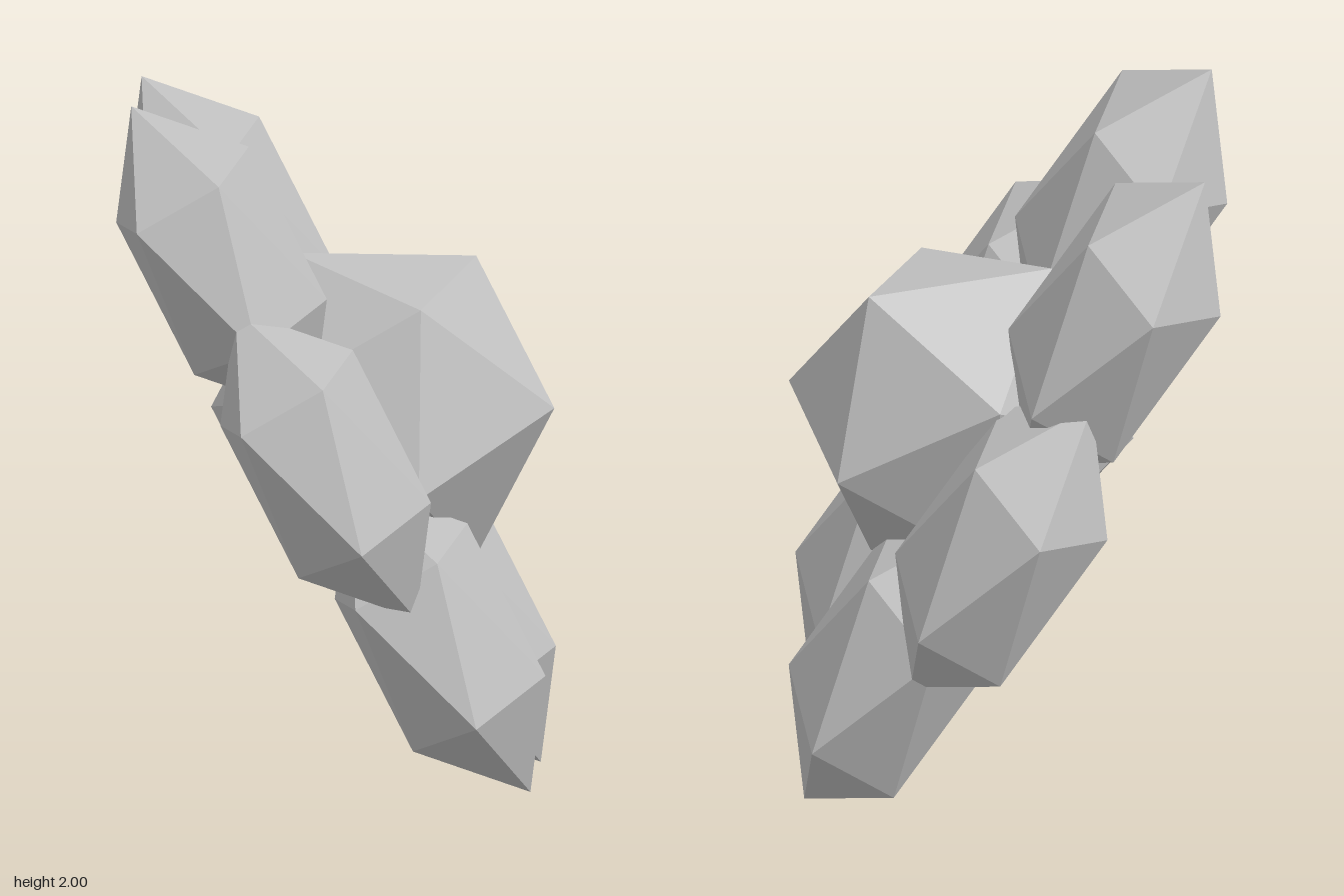
import * as THREE from 'three';

export function createModel() {
  const model = new THREE.Group();
  const stone = new THREE.MeshStandardMaterial({ color: 0xc0c0c0, flatShading: true });
  stone.name = 'pale grey';

  // Tilted cluster frame: local x is the axis of the ring
  const cluster = new THREE.Group();
  cluster.name = 'cluster';
  const axis = new THREE.Vector3(Math.SQRT1_2, 0.5, 0.5);
  const along = new THREE.Vector3(0, Math.SQRT1_2, -Math.SQRT1_2)
    .applyAxisAngle(axis, THREE.MathUtils.degToRad(-5.3));
  const across = new THREE.Vector3().crossVectors(along, axis);
  cluster.quaternion.setFromRotationMatrix(new THREE.Matrix4().makeBasis(axis, across, along));
  cluster.position.y = 1;
  model.add(cluster);

  const geometry = new THREE.IcosahedronGeometry(0.5, 0);

  // Full centre, raised slightly along the axis
  const centre = new THREE.Mesh(geometry, stone);
  centre.name = 'centre';
  centre.position.x = 0.15;
  cluster.add(centre);

  // Six petals flattened along the axis
  for (let i = 0; i < 6; i++) {
    const angle = (i * Math.PI) / 3;
    const petal = new THREE.Mesh(geometry, stone);
    petal.name = `petal${i + 1}`;
    petal.position.set(0, 0.7 * Math.sin(angle), 0.7 * Math.cos(angle));
    petal.scale.x = 0.5;
    cluster.add(petal);
  }
  return model;
}
